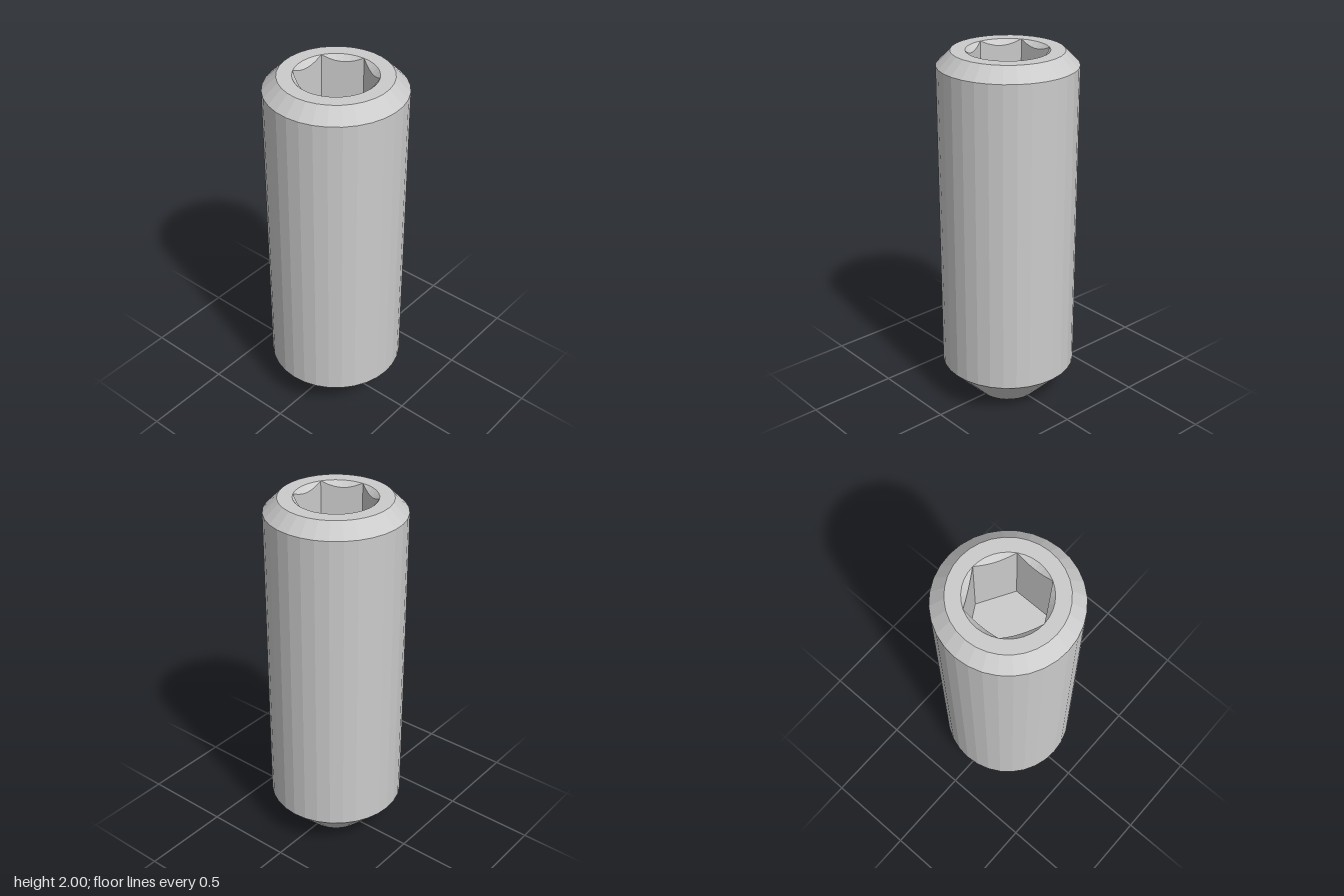
import * as THREE from 'three';

const HEIGHT = 2, BODY_R = 0.373, RIM_R = 0.298, SOCKET_R = 0.22;
const SIDES = 32, SOCKET_SIDES = 36;

const material = new THREE.MeshStandardMaterial({ color: 0xcccccc, flatShading: true });

function part(name, geometry) {
  const mesh = new THREE.Mesh(geometry, material);
  mesh.name = name;
  return mesh;
}

// Points evenly spaced round a circle, starting on +x
function circle(radius, sides) {
  return Array.from({ length: sides }, (_, i) => {
    const a = (i / sides) * Math.PI * 2;
    return new THREE.Vector2(radius * Math.cos(a), radius * Math.sin(a));
  });
}

// Distance from the axis to the hexagon's side at a given step
function hexRadius(step) {
  const a = (step / SOCKET_SIDES) * Math.PI * 2;
  return SOCKET_R * Math.cos(Math.PI / 6) / Math.cos((a % (Math.PI / 3)) - Math.PI / 6);
}

// Round mouth, 45 degree countersink cut by the hexagon, straight walls, flat floor
function socketGeometry(floorY) {
  const rings = [
    () => [SOCKET_R, HEIGHT],
    (r) => [r, HEIGHT - (SOCKET_R - r)],
    (r) => [r, floorY],
    () => [0, floorY],
  ];
  const positions = [], index = [];
  for (const ring of rings) {
    for (let j = 0; j < SOCKET_SIDES; j++) {
      const a = (j / SOCKET_SIDES) * Math.PI * 2;
      const [r, y] = ring(hexRadius(j));
      positions.push(r * Math.cos(a), y, r * Math.sin(a));
    }
  }
  for (let i = 0; i < rings.length - 1; i++) {
    for (let j = 0; j < SOCKET_SIDES; j++) {
      const k = (j + 1) % SOCKET_SIDES;
      const a = i * SOCKET_SIDES + j, b = i * SOCKET_SIDES + k;
      const c = b + SOCKET_SIDES, d = a + SOCKET_SIDES;
      if (i < rings.length - 2) index.push(a, d, c, a, c, b);
      else index.push(a, d, b);
    }
  }
  const geometry = new THREE.BufferGeometry();
  geometry.setAttribute('position', new THREE.Float32BufferAttribute(positions, 3));
  geometry.setIndex(index);
  const flat = geometry.toNonIndexed();
  flat.computeVertexNormals();
  return flat;
}

export function createModel() {
  const group = new THREE.Group();
  group.name = 'setScrew';

  // Hollow cup point, tapered tip, shank and top chamfer in one profile
  const profile = [[0, 0.1], [0.175, 0], [BODY_R, 0.2], [BODY_R, 1.925], [RIM_R, HEIGHT]];
  group.add(part('body', new THREE.LatheGeometry(
    profile.map(([r, y]) => new THREE.Vector2(r, y)), SIDES)));

  // Flat ring round the socket mouth
  const ring = new THREE.Shape(circle(RIM_R, SIDES));
  ring.holes.push(new THREE.Path(circle(SOCKET_R, SOCKET_SIDES)));
  const rim = new THREE.ShapeGeometry(ring);
  rim.rotateX(-Math.PI / 2).translate(0, HEIGHT, 0);
  group.add(part('topRim', rim));

  // Hexagonal drive recess
  group.add(part('hexSocket', socketGeometry(1.56)));

  return group;
}
